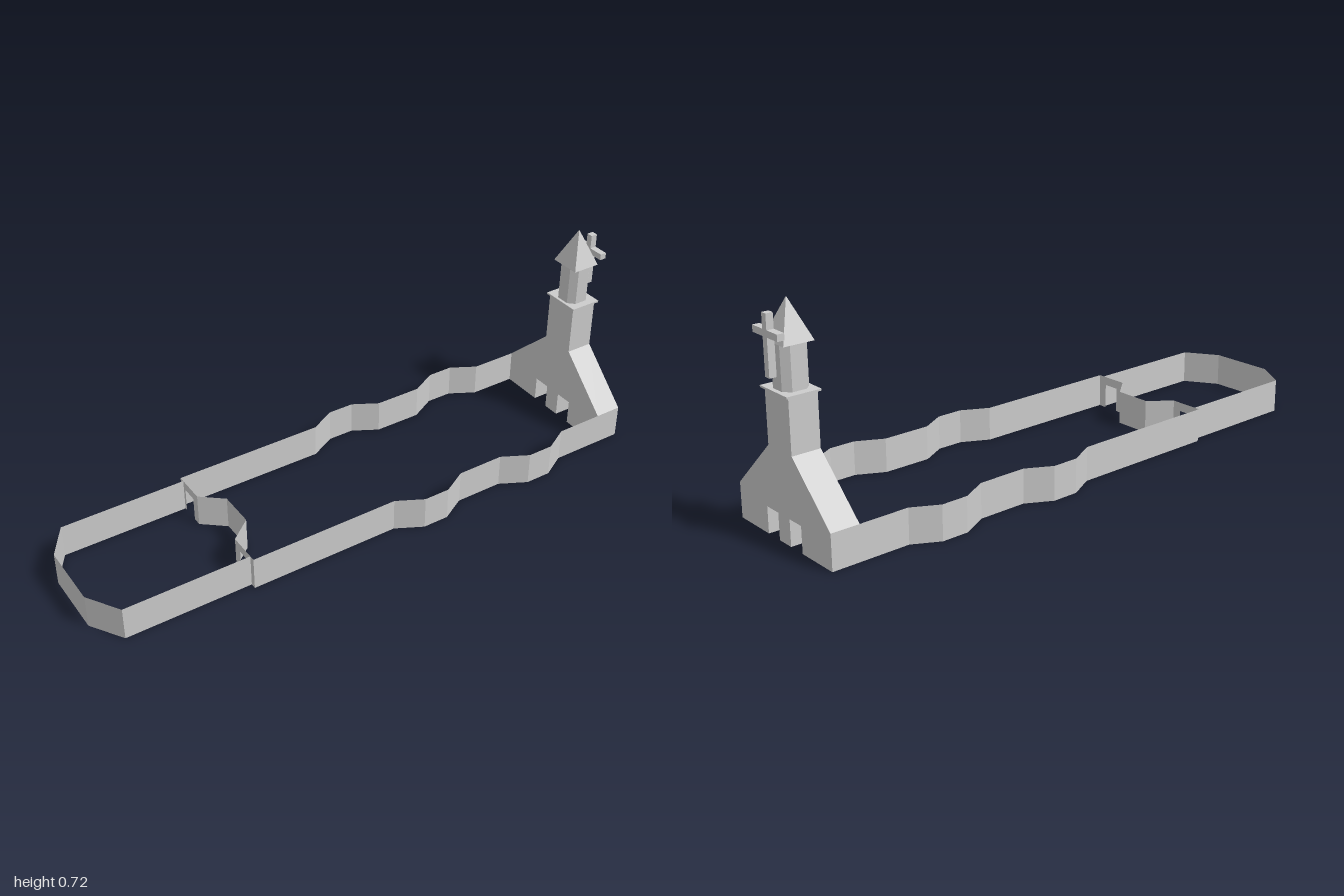
import * as THREE from 'three';

const grey = new THREE.MeshStandardMaterial({ color: 0xcccccc, flatShading: true });
const sheet = new THREE.MeshStandardMaterial({ color: 0xcccccc, flatShading: true, side: THREE.DoubleSide });
const WALL = 0.115;
const TOWER_X = 0.927;

const shapeOf = (pts) => new THREE.Shape(pts.map(([x, y]) => new THREE.Vector2(x, y)));

// Outline of right half, mirrored to a closed symmetric shape
const mirrored = (half) => shapeOf([...half, ...half.map(([x, y]) => [-x, y]).reverse()]);

// Upright thin wall following a plan path of [x, z] points
function wallGeometry(path) {
  const pos = [];
  for (let i = 0; i < path.length - 1; i++) {
    const [ax, az] = path[i], [bx, bz] = path[i + 1];
    pos.push(ax, 0, az, bx, 0, bz, bx, WALL, bz, ax, 0, az, bx, WALL, bz, ax, WALL, az);
  }
  const g = new THREE.BufferGeometry();
  g.setAttribute('position', new THREE.Float32BufferAttribute(pos, 3));
  g.computeVertexNormals();
  return g;
}

// Extrude a z-y profile along x, from x0 to x1
function extrudeX(shape, x0, x1) {
  return new THREE.ExtrudeGeometry(shape, { depth: x1 - x0, bevelEnabled: false })
    .rotateY(Math.PI / 2).translate(x0, 0, 0);
}

export function createModel() {
  const model = new THREE.Group();
  model.name = 'church';
  const add = (name, geometry, material = grey) => {
    const mesh = new THREE.Mesh(geometry, material);
    mesh.name = name;
    model.add(mesh);
    return mesh;
  };

  // Nave side walls with two bays each, and the screen doorways
  for (const s of [1, -1]) {
    const side = s > 0 ? 'Front' : 'Back';
    const path = [[-0.5, 0.24]];
    for (const x of [0.02, 0.45]) {
      path.push([x, 0.24], [x + 0.09, 0.287], [x + 0.18, 0.287], [x + 0.265, 0.24]);
    }
    path.push([0.88, 0.24]);
    add('naveWall' + side, wallGeometry(path.map(([x, z]) => [x, z * s])), sheet);

    const panel = shapeOf([
      [0.125, 0], [0.155, 0], [0.155, 0.085], [0.21, 0.085], [0.21, 0],
      [0.24, 0], [0.24, WALL], [0.125, WALL],
    ].map(([z, y]) => [-z * s, y]));
    add('screenDoorway' + side,
      new THREE.ShapeGeometry(panel).rotateY(Math.PI / 2).translate(-0.5, 0, 0), sheet);
  }

  // Angled screen between nave and chancel
  add('screen', wallGeometry([[-0.5, -0.125], [-0.425, -0.063], [-0.425, 0.063], [-0.5, 0.125]]), sheet);

  // Chancel with chamfered end
  add('chancelWall', wallGeometry([
    [-0.5, -0.221], [-0.93, -0.221], [-1, -0.112], [-1, 0.112], [-0.93, 0.221], [-0.5, 0.221],
  ]), sheet);

  // Gabled facade rising into the tower, with two doorways
  add('facade', extrudeX(mirrored([
    [0.03, 0], [0.03, 0.086], [0.09, 0.086], [0.09, 0], [0.24, 0],
    [0.24, WALL], [0.061, 0.285], [0.061, 0.458],
  ]), 0.88, 0.975));

  // Ledge on the tower
  add('ledge', new THREE.BoxGeometry(0.112, 0.006, 0.14)).position.set(TOWER_X + 0.002, 0.46, 0);

  // Eight-sided belfry
  const a = 0.044, b = 0.023;
  add('belfry', new THREE.ExtrudeGeometry(
    mirrored([[b, -a], [a, -b], [a, b], [b, a]]), { depth: 0.138, bevelEnabled: false },
  ).rotateX(-Math.PI / 2).translate(TOWER_X, 0.462, 0));

  // Pyramid spire
  const spire = new THREE.ConeGeometry(Math.SQRT2 / 2, 1, 4).rotateY(Math.PI / 4);
  spire.scale(0.1, 0.124, 0.109);
  add('spire', spire).position.set(TOWER_X, 0.662, 0);

  // Cross in front of the spire
  add('cross', extrudeX(mirrored([
    [0.011, 0.505], [0.011, 0.622], [0.064, 0.622], [0.064, 0.643], [0.011, 0.643], [0.011, 0.69],
  ]), 0.977, 1));

  return model;
}
